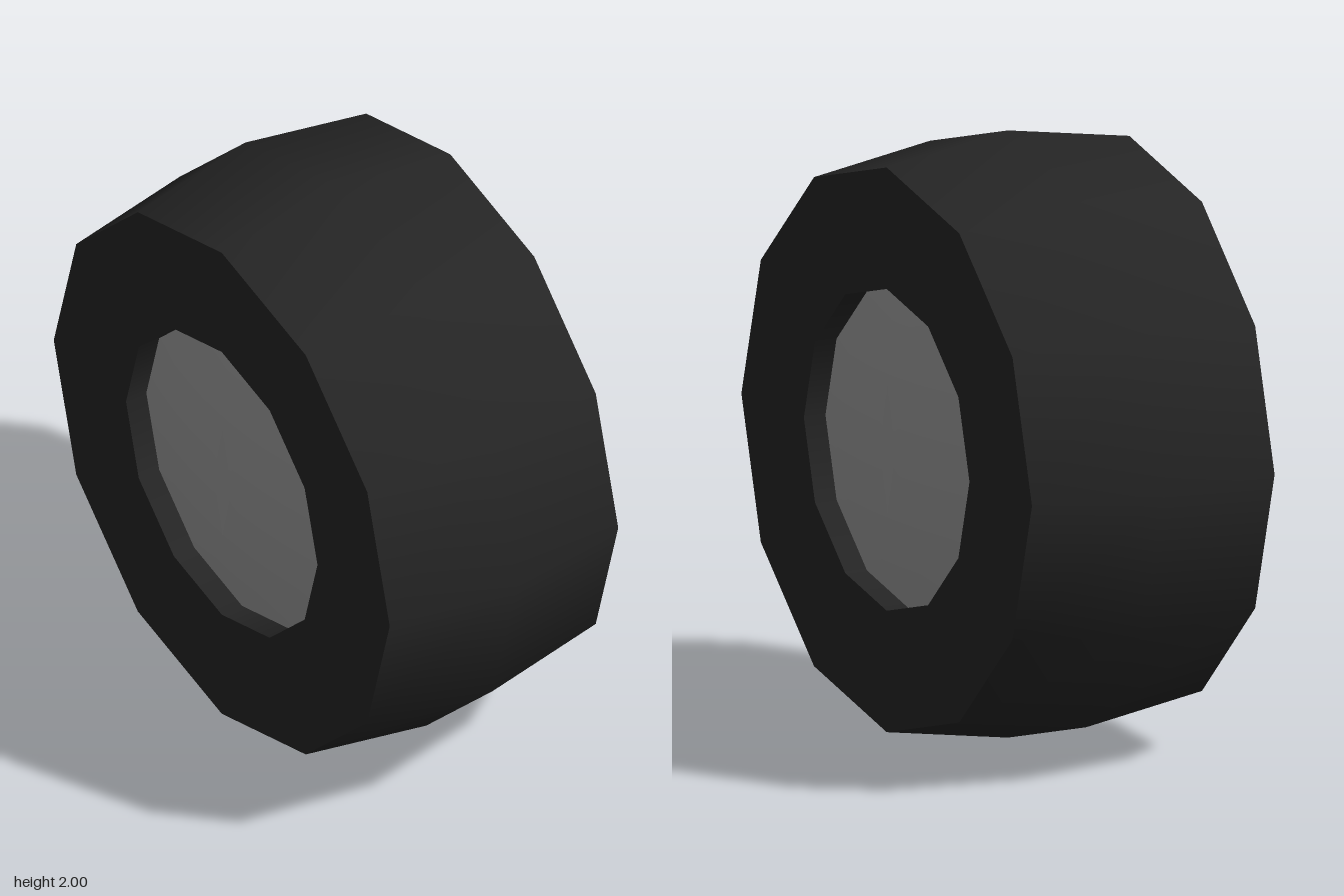
import * as THREE from 'three';

const SIDES = 12;
const HALF_WIDTH = 0.45;
const HOLE_RADIUS = 0.53;

const rubber = new THREE.MeshStandardMaterial({ color: 0x252525 });
rubber.name = 'dark rubber';
const metal = new THREE.MeshStandardMaterial({ color: 0x9c9c9c });
metal.name = 'grey metal';

// Revolves a [radius, x] profile around the axle (x axis)
function revolve(name, profile, material) {
  const points = profile.map(([r, x]) => new THREE.Vector2(r, x));
  const geometry = new THREE.LatheGeometry(points, SIDES).rotateZ(-Math.PI / 2);
  const mesh = new THREE.Mesh(geometry, material);
  mesh.name = name;
  return mesh;
}

// Flat four-pointed star facing +x
function makeStar() {
  const shape = new THREE.Shape();
  for (let i = 0; i < 8; i++) {
    const r = i % 2 ? 0.054 : 0.216;
    const a = (i * Math.PI) / 4;
    shape[i ? 'lineTo' : 'moveTo'](r * Math.cos(a), r * Math.sin(a));
  }
  shape.closePath();
  const star = new THREE.Mesh(new THREE.ShapeGeometry(shape).rotateY(Math.PI / 2), metal);
  star.name = 'hubStar';
  star.position.x = 0.447;
  return star;
}

// One face of the wheel: sidewall, recess wall, domed cap and star
function makeFace(name) {
  const face = new THREE.Group();
  face.name = name;
  const cap = [];
  for (let i = 0; i <= 5; i++) {
    const t = 1 - i / 5;
    cap.push([HOLE_RADIUS * t, 0.442 - 0.072 * t * t]);
  }
  face.add(
    revolve('sidewall', [[0.93, HALF_WIDTH], [HOLE_RADIUS, HALF_WIDTH]], rubber),
    revolve('recessWall', [[HOLE_RADIUS, HALF_WIDTH], [HOLE_RADIUS, 0.35]], rubber),
    revolve('hubCap', cap, metal),
    makeStar()
  );
  return face;
}

export function createModel() {
  const wheel = new THREE.Group();
  wheel.name = 'wheel';

  // Crowned tread
  wheel.add(revolve('tread', [[0.93, -HALF_WIDTH], [1, 0], [0.93, HALF_WIDTH]], rubber));

  // Matching faces on both sides
  const left = makeFace('leftFace');
  const right = makeFace('rightFace');
  right.rotation.y = Math.PI;
  wheel.add(left, right);

  wheel.position.y = 1;
  const model = new THREE.Group();
  model.name = 'wheelModel';
  model.add(wheel);
  return model;
}
